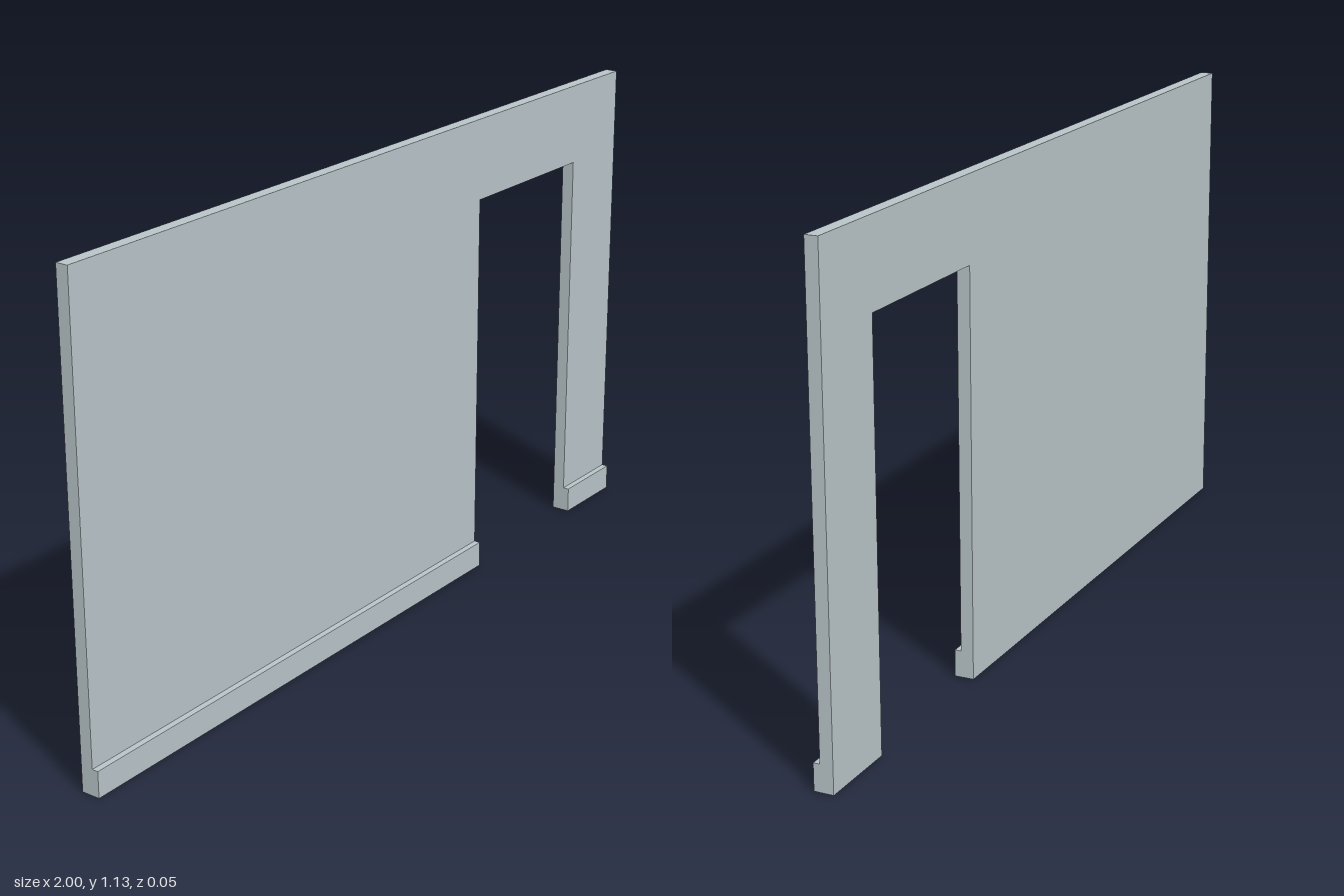
import * as THREE from 'three';

const HEIGHT = 1.13, BACK = -0.0225, FACE = 0.0075, FRONT = 0.0225;
const DOOR = { left: 0.388, right: 0.804, top: 0.936 };
const SKIRTING_HEIGHT = 0.062;

export function createModel() {
  const model = new THREE.Group();
  model.name = 'wallWithDoorway';

  const paint = new THREE.MeshStandardMaterial({ color: 0xb8c4c8 });
  paint.name = 'pale blue grey';

  // Wall panel with a doorway open to the floor
  const outline = new THREE.Shape([
    [-1, 0], [DOOR.left, 0], [DOOR.left, DOOR.top], [DOOR.right, DOOR.top],
    [DOOR.right, 0], [1, 0], [1, HEIGHT], [-1, HEIGHT],
  ].map(([x, y]) => new THREE.Vector2(x, y)));
  const wall = new THREE.Mesh(
    new THREE.ExtrudeGeometry(outline, { depth: FACE - BACK, bevelEnabled: false }), paint);
  wall.name = 'wall';
  wall.position.z = BACK;
  model.add(wall);

  // Skirting boards along the front, one on each side of the doorway
  const addSkirting = (name, x0, x1) => {
    const board = new THREE.Mesh(
      new THREE.BoxGeometry(x1 - x0, SKIRTING_HEIGHT, FRONT - FACE), paint);
    board.name = name;
    board.position.set((x0 + x1) / 2, SKIRTING_HEIGHT / 2, (FACE + FRONT) / 2);
    model.add(board);
  };
  addSkirting('rightSkirting', -1, DOOR.left);
  addSkirting('leftSkirting', DOOR.right, 1);

  return model;
}
